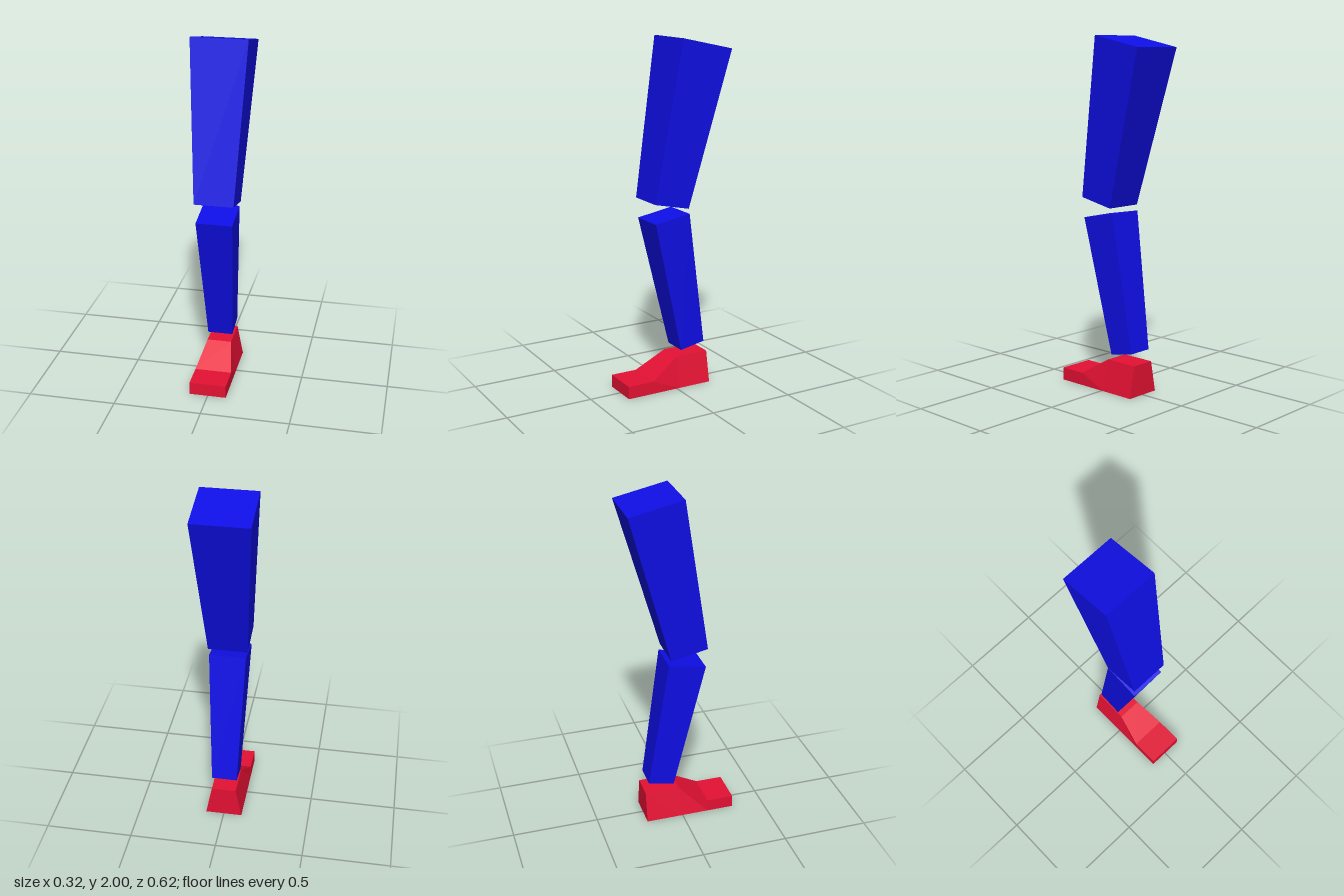
import * as THREE from 'three';

const blue = new THREE.MeshStandardMaterial({ color: 0x1010f0 });
blue.name = 'blue trouser';
const red = new THREE.MeshStandardMaterial({ color: 0xe41133 });
red.name = 'red shoe';

// Closed faceted solid through four-cornered sections, each counter-clockwise seen from the last one's end
function loft(name, sections, material) {
  const points = [];
  const quad = (a, b, c, d) => points.push(...a, ...b, ...c, ...a, ...c, ...d);
  for (let s = 0; s < sections.length - 1; s++) {
    const low = sections[s], high = sections[s + 1];
    for (let i = 0; i < 4; i++) {
      const j = (i + 1) % 4;
      quad(low[i], low[j], high[j], high[i]);
    }
  }
  quad(...sections[sections.length - 1]);
  quad(...[...sections[0]].reverse());
  const geometry = new THREE.BufferGeometry();
  geometry.setAttribute('position', new THREE.Float32BufferAttribute(points, 3));
  geometry.computeVertexNormals();
  const mesh = new THREE.Mesh(geometry, material);
  mesh.name = name;
  return mesh;
}

// Tilted limb end: half width, then front and back edges as [y, z]
const limbEnd = (w, [fy, fz], [by, bz]) => [[-w, fy, fz], [w, fy, fz], [w, by, bz], [-w, by, bz]];

// Upright shoe section: z, half width at the sole, half width and height at the top
const shoeSection = (z, sole, top, h) => [[-sole, 0, z], [sole, 0, z], [top, h, z], [-top, h, z]];

export function createModel() {
  const leg = new THREE.Group();
  leg.name = 'leg';

  // Thigh leans back towards the hip
  leg.add(loft('thigh', [
    limbEnd(0.112, [1.102, 0.142], [1.057, -0.07]),
    limbEnd(0.16, [2, -0.006], [1.935, -0.312]),
  ], blue));

  // Shin leans forward towards the knee
  leg.add(loft('shin', [
    limbEnd(0.073, [0.216, -0.046], [0.245, -0.197]),
    limbEnd(0.104, [0.987, 0.134], [1.025, -0.081]),
  ], blue));

  // Shoe from heel to toe
  leg.add(loft('shoe', [
    shoeSection(-0.218, 0.106, 0.071, 0.18),
    shoeSection(-0.017, 0.106, 0.071, 0.18),
    shoeSection(0.155, 0.106, 0.106, 0.073),
    shoeSection(0.312, 0.106, 0.106, 0.073),
  ], red));

  return leg;
}
